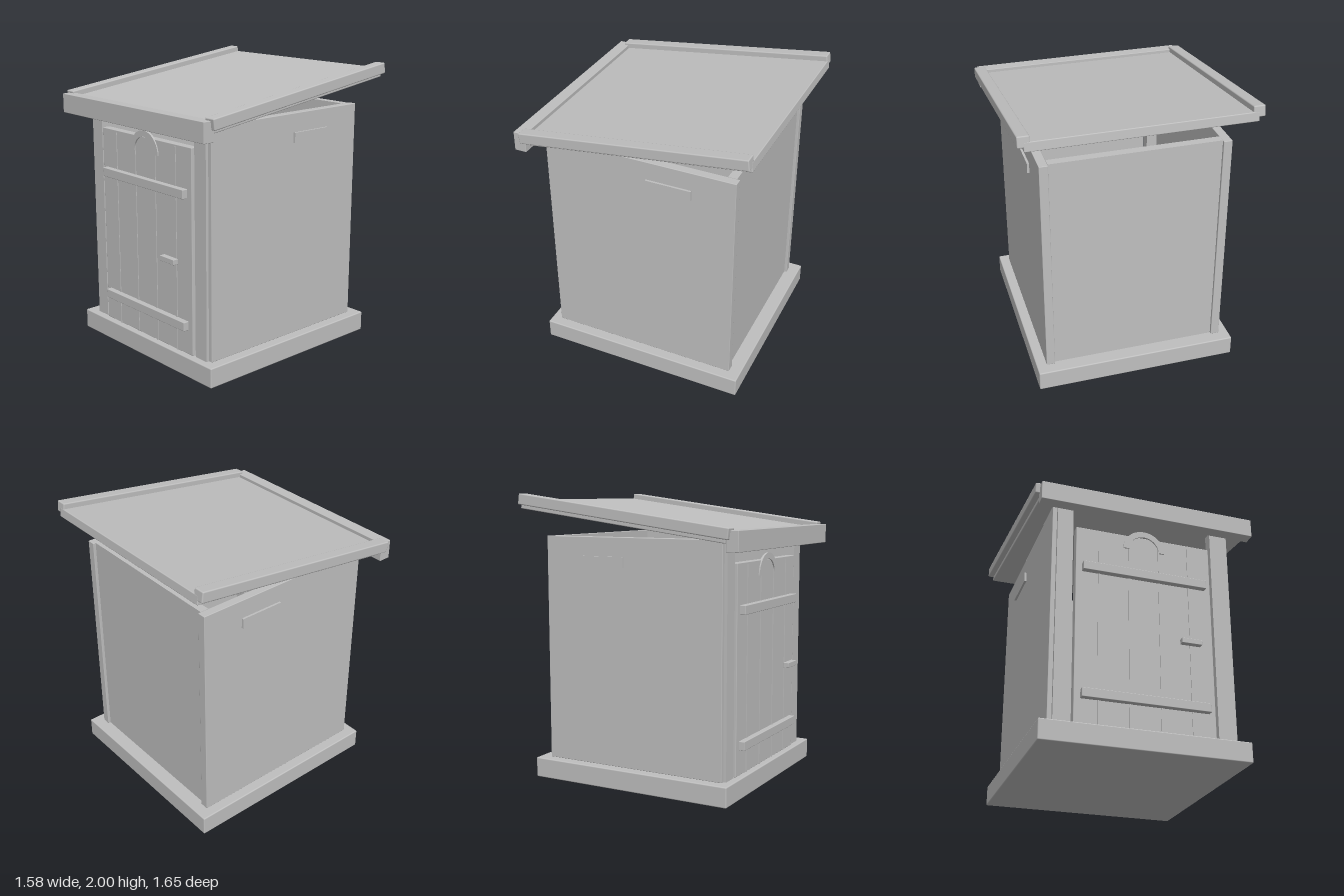
import * as THREE from 'three';
import { RoundedBoxGeometry } from 'three/addons/geometries/RoundedBoxGeometry.js';

export function createModel() {
  const model = new THREE.Group();
  model.name = 'outhouse';
  const grey = new THREE.MeshStandardMaterial({ color: 0xbfbfbf });
  grey.name = 'plain grey';

  // Box given by its limits on each axis; bevel softens the edges
  function box(name, [x0, x1], [y0, y1], [z0, z1], bevel = 0, parent = model) {
    const size = [x1 - x0, y1 - y0, z1 - z0];
    const geometry = bevel
      ? new RoundedBoxGeometry(...size, 2, bevel)
      : new THREE.BoxGeometry(...size);
    const mesh = new THREE.Mesh(geometry, grey);
    mesh.name = name;
    mesh.position.set((x0 + x1) / 2, (y0 + y1) / 2, (z0 + z1) / 2);
    parent.add(mesh);
    return mesh;
  }

  // Same box on both sides of the model
  function pair(name, [x0, x1], y, z, bevel = 0, parent = model) {
    box(name + 'Left', [x0, x1], y, z, bevel, parent);
    box(name + 'Right', [-x1, -x0], y, z, bevel, parent);
  }

  // Base and open-topped cabin
  box('base', [-0.71, 0.71], [0, 0.14], [-0.77, 0.73], 0.008);
  pair('sideWall', [0.58, 0.64], [0.14, 1.71], [-0.69, 0.66], 0.004);
  box('backWall', [-0.58, 0.58], [0.14, 1.71], [-0.67, -0.61]);
  pair('frontPost', [0.5, 0.61], [0.14, 1.7], [0.61, 0.68]);
  pair('sideVent', [0.635, 0.655], [1.51, 1.58], [-0.39, -0.07]);

  // Door with plank seams, cross bars and handle
  const door = new THREE.Group();
  door.name = 'door';
  model.add(door);
  box('doorPanel', [-0.48, 0.48], [0.14, 1.555], [0.63, 0.688], 0.004, door);
  for (const x of [-0.32, -0.107, 0.107, 0.32]) {
    box('plankSeam', [x - 0.006, x + 0.006], [0.14, 1.54], [0.68, 0.693], 0, door);
  }
  for (const y of [0.345, 1.25]) {
    box('crossBar', [-0.437, 0.437], [y - 0.031, y + 0.031], [0.685, 0.728], 0.004, door);
  }
  box('handle', [0.233, 0.375], [0.768, 0.804], [0.72, 0.76], 0.003, door);

  // Half-ring ornament above the door
  const arch = new THREE.Shape();
  arch.absarc(0, 0, 0.148, 0, Math.PI, false);
  arch.absarc(0, 0, 0.106, Math.PI, 0, true);
  const archMesh = new THREE.Mesh(
    new THREE.ExtrudeGeometry(arch, { depth: 0.015, bevelEnabled: false, curveSegments: 16 }), grey);
  archMesh.name = 'doorArch';
  archMesh.position.set(0, 1.452, 0.682);
  door.add(archMesh);

  // Sloping roof, its side rails and the front fascia
  const slope = 0.131;
  const roof = box('roofPanel', [-0.75, 0.75], [1.794, 1.858], [-0.83, 0.74], 0.006);
  roof.rotation.x = slope;
  for (const side of [1, -1]) {
    const rail = box('roofRail', [0.71, 0.79], [1.82, 1.895], [-0.825, 0.775], 0.008);
    rail.position.x *= side;
    rail.rotation.x = slope;
  }
  box('frontFascia', [-0.76, 0.76], [1.64, 1.775], [0.74, 0.825], 0.004);

  return model;
}
